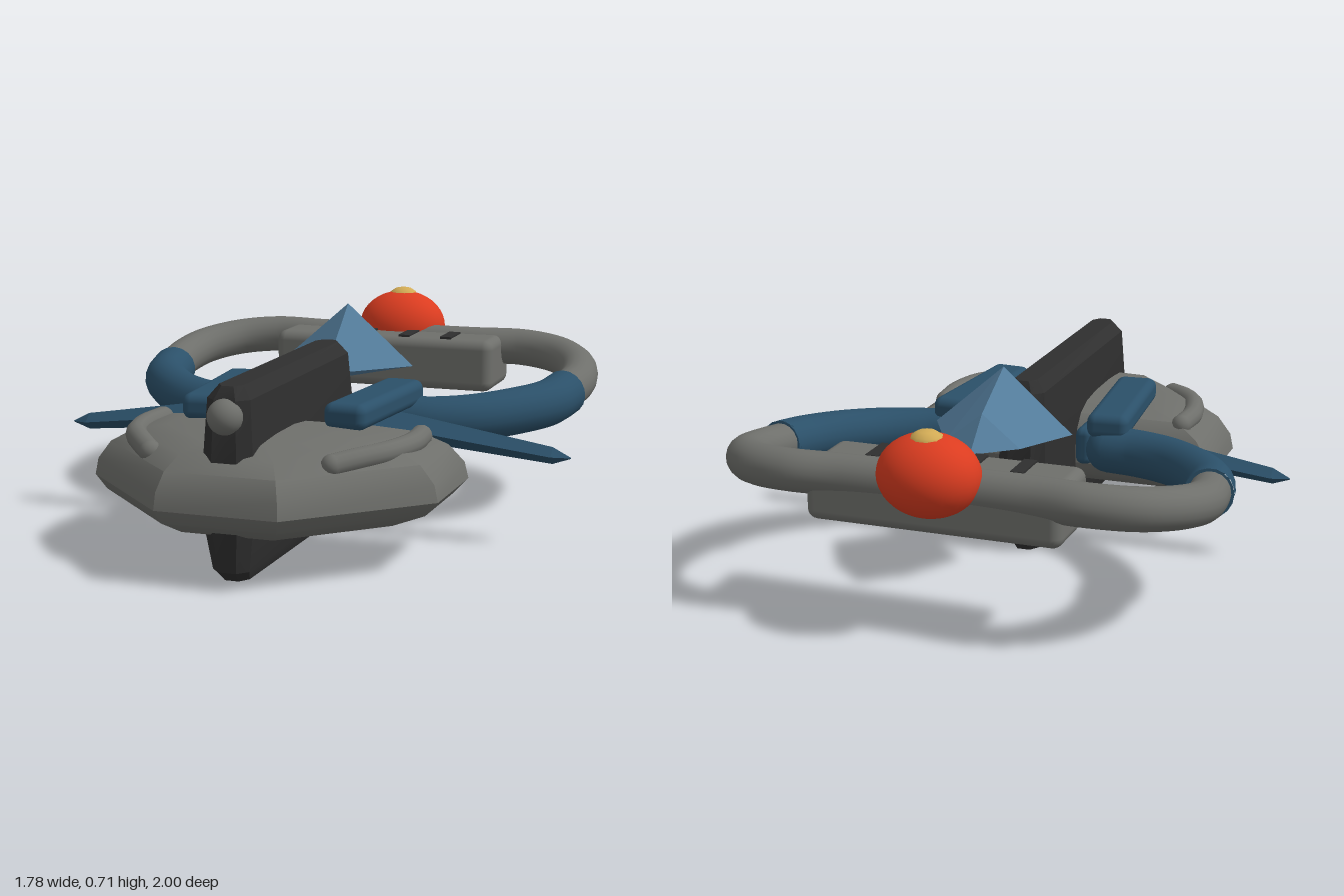
import * as THREE from 'three';
import { toCreasedNormals } from 'three/addons/utils/BufferGeometryUtils.js';
import { RoundedBoxGeometry } from 'three/addons/geometries/RoundedBoxGeometry.js';
import { ConvexGeometry } from 'three/addons/geometries/ConvexGeometry.js';

const material = (name, color) => {
  const m = new THREE.MeshStandardMaterial({ color });
  m.name = name;
  return m;
};

// Joins equal-length loops of [x, y, z] points into a closed solid.
function loft(rings, crease) {
  const n = rings[0].length;
  const pos = rings.flat(2);
  const index = [];
  for (let r = 0; r < rings.length - 1; r++) {
    for (let k = 0; k < n; k++) {
      const a = r * n + k, b = r * n + (k + 1) % n;
      index.push(a, a + n, b, b, a + n, b + n);
    }
  }
  const top = (rings.length - 1) * n;
  for (let k = 1; k < n - 1; k++) {
    index.push(0, k, k + 1, top, top + k + 1, top + k);
  }
  const g = new THREE.BufferGeometry();
  g.setAttribute('position', new THREE.Float32BufferAttribute(pos, 3));
  g.setIndex(index);
  g.computeVertexNormals();
  return toCreasedNormals(g, crease);
}

function curve(points) {
  return new THREE.CatmullRomCurve3(points.map(p => new THREE.Vector3(...p)), false, 'centripetal');
}

export function createModel() {
  const group = new THREE.Group();
  const grey = material('hullGrey', 0x6e6f6b);
  const dark = material('charcoal', 0x2f2f2f);
  const blue = material('deepBlue', 0x2b5069);
  const lightBlue = material('canopyBlue', 0x547d9c);
  const red = material('domeRed', 0xdb3c20);
  const yellow = material('capYellow', 0xd2ab55);

  function add(name, geometry, mat, x = 0, y = 0, z = 0) {
    const mesh = new THREE.Mesh(geometry, mat);
    mesh.name = name;
    mesh.position.set(x, y, z);
    group.add(mesh);
    return mesh;
  }

  // Lens-shaped front hull: one outline scaled at each height
  const outline = [[-0.58, 0.27], [0.58, 0.27], [0.58, 0.62], [0.2, 1], [-0.2, 1], [-0.58, 0.62]];
  const hullLevels = [[0.45, 0.13], [0.75, 0.15], [0.93, 0.19], [1, 0.235], [0.98, 0.29],
    [0.9, 0.35], [0.76, 0.395], [0.55, 0.42], [0.25, 0.43]];
  add('hull', loft(hullLevels.map(([s, y]) =>
    outline.map(([x, z]) => [x * s, y, 0.62 + (z - 0.62) * s])), 0.6), grey);

  // Upright central spine: chamfered rectangles stacked in height
  const spineLevels = [[0, 0.045, -0.03, 0.87], [0.035, 0.06, -0.05, 0.91], [0.24, 0.09, -0.09, 0.935],
    [0.57, 0.07, -0.05, 0.915], [0.61, 0.04, -0.03, 0.89]];
  add('spine', loft(spineLevels.map(([y, w, back, front]) => {
    const i = w * 0.5, c = 0.035;
    return [[-i, y, back], [i, y, back], [w, y, back + c], [w, y, front - c],
      [i, y, front], [-i, y, front], [-w, y, front - c], [-w, y, back + c]];
  }), 0.5), dark);
  add('noseBall', new THREE.SphereGeometry(0.056, 20, 14), grey, 0, 0.52, 0.91);

  // Faceted canopy
  const canopy = [[0, 0.71, -0.22], [0, 0.605, -0.42], [0, 0.5, -0.53], [0, 0.5, 0.03], [0, 0.45, -0.22]];
  for (const s of [-1, 1]) canopy.push([0.24 * s, 0.5, -0.22], [0.13 * s, 0.5, -0.42]);
  add('canopy', new ConvexGeometry(canopy.map(p => new THREE.Vector3(...p))), lightBlue);

  // Rear loop, one grey tube from side to side
  const half = [[0.745, 0.41, -0.36], [0.76, 0.43, -0.52], [0.725, 0.455, -0.66], [0.63, 0.475, -0.77],
    [0.49, 0.487, -0.82], [0.3, 0.487, -0.81]];
  const other = half.map(([x, y, z]) => [-x, y, z]).reverse();
  add('rearLoop', new THREE.TubeGeometry(curve([...half, ...other]), 90, 0.068, 18), grey);

  // Engine block with slots, dome and cap
  add('engineBlock', new RoundedBoxGeometry(0.84, 0.19, 0.27, 3, 0.035), grey, 0, 0.44, -0.735);
  for (const x of [-0.24, -0.08, 0.08, 0.24]) {
    add('engineSlot', new THREE.BoxGeometry(0.042, 0.009, 0.13), dark, x, 0.537, -0.69);
  }
  add('dome', new THREE.SphereGeometry(1, 32, 20), red, 0, 0.54, -0.865).scale.set(0.165, 0.132, 0.135);
  add('domeCap', new THREE.SphereGeometry(1, 10, 6), yellow, 0, 0.65, -0.875).scale.set(0.057, 0.037, 0.052);

  // Spike cross-sections: x, centre height, half height, half depth
  const spikeSections = [[0.17, 0.375, 0.055, 0.075], [0.35, 0.365, 0.045, 0.055],
    [0.83, 0.305, 0.028, 0.033], [0.89, 0.3, 0.002, 0.002]];
  const spikeGeo = loft(spikeSections.map(([x, y, h, d]) =>
    [[x, y, d], [x, y + h, 0], [x, y, -d], [x, y - h, 0]]), 0.2);

  for (const s of [-1, 1]) {
    const side = s > 0 ? 'left' : 'right';

    // Blue arm with a rounded inner end
    const arm = [[0.28, 0.37, 0.06], [0.39, 0.37, 0.045], [0.51, 0.375, -0.01], [0.63, 0.385, -0.12],
      [0.715, 0.395, -0.25], [0.745, 0.41, -0.38]].map(([x, y, z]) => [x * s, y, z]);
    add(side + 'Arm', new THREE.TubeGeometry(curve(arm), 40, 0.08, 18), blue);
    add(side + 'ArmEnd', new THREE.SphereGeometry(0.08, 18, 12), blue, ...arm[0]);
    const collar = add(side + 'ArmCollar', new THREE.CircleGeometry(0.08, 18), blue, ...arm[5]);
    collar.lookAt(0.76 * s, 0.43, -0.52);

    // Pod beside the spine
    const pod = add(side + 'Pod', new RoundedBoxGeometry(0.145, 0.085, 0.525, 3, 0.03), blue, 0.262 * s, 0.46, 0.27);
    pod.rotation.y = -0.085 * s;

    // Spike and its root
    add(side + 'Spike', spikeGeo, blue, 0, 0, 0.16).rotation.y = s > 0 ? 0 : Math.PI;
    add(side + 'SpikeRoot', new RoundedBoxGeometry(0.06, 0.13, 0.2, 2, 0.025), blue, 0.188 * s, 0.37, 0.145);

    // Curved rail on the hull
    const rail = [[0.45, 0.385, 0.37], [0.455, 0.385, 0.5], [0.42, 0.385, 0.64], [0.36, 0.38, 0.73],
      [0.3, 0.37, 0.8]].map(([x, y, z]) => [x * s, y, z]);
    add(side + 'Rail', new THREE.TubeGeometry(curve(rail), 30, 0.036, 12), grey);
    for (const p of [rail[0], rail[4]]) {
      add(side + 'RailEnd', new THREE.SphereGeometry(0.036, 12, 8), grey, ...p);
    }
  }
  return group;
}
